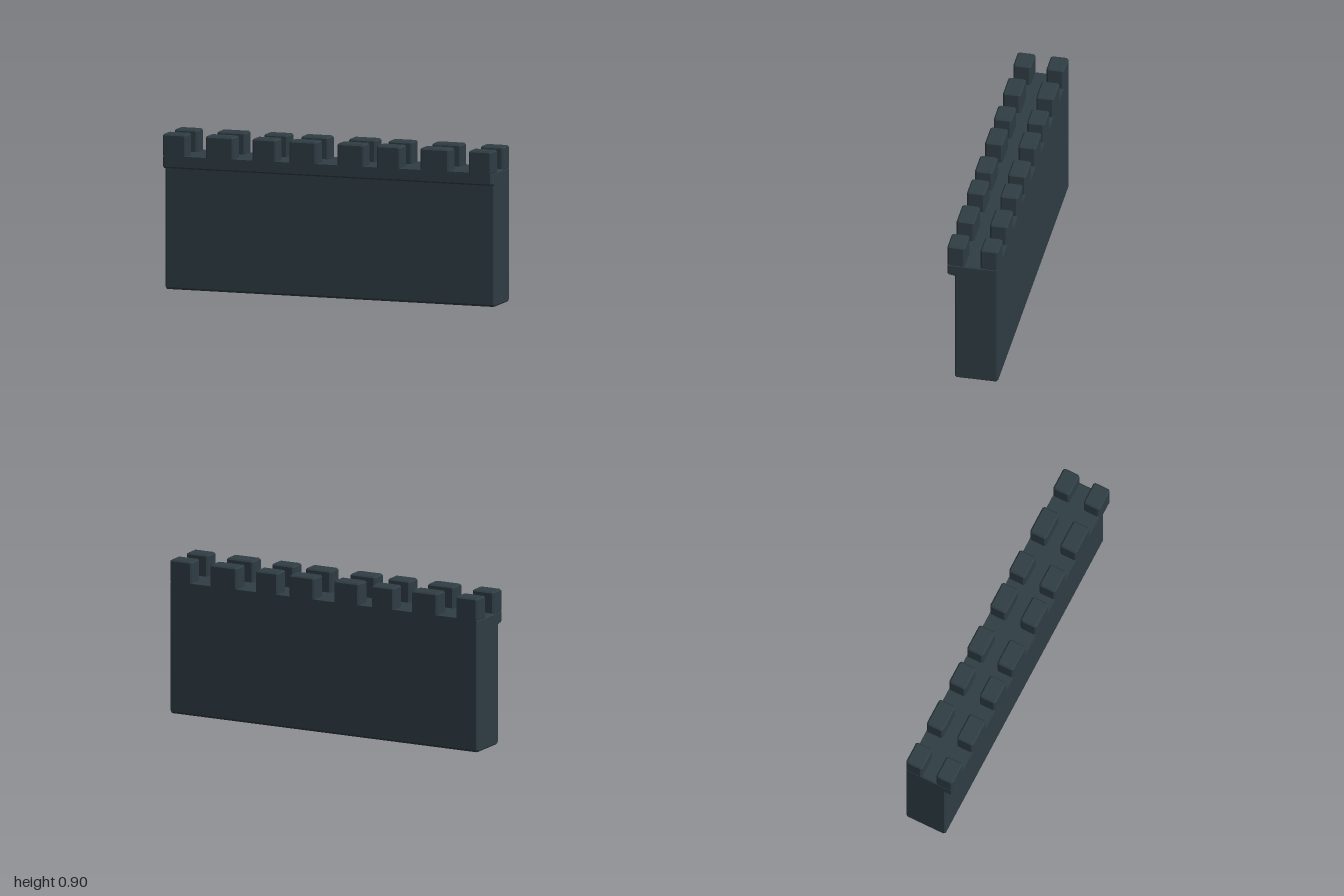
import * as THREE from 'three';

const BEVEL = 0.008;

// Extrudes an outline so that its total depth, bevels included, equals depth
function bevelled(points, depth) {
  const shape = new THREE.Shape(points.map(([x, y]) => new THREE.Vector2(x, y)));
  const geometry = new THREE.ExtrudeGeometry(shape, {
    depth: depth - 2 * BEVEL,
    bevelThickness: BEVEL, bevelSize: BEVEL, bevelOffset: -BEVEL, bevelSegments: 1,
  });
  return geometry.translate(0, 0, BEVEL);
}

export function createModel() {
  const group = new THREE.Group();
  const stone = new THREE.MeshStandardMaterial({ color: 0x2f3d44 });
  stone.name = 'darkStone';

  const floorY = 0.775, topY = 0.9;
  const front = 0.148, back = -0.148;

  // Wall body: side profile (z, y) with the overhanging front parapet
  const profile = [
    [-0.135, 0], [0.093, 0], [0.104, 0.012], [0.104, 0.698],
    [0.14, 0.704], [front, 0.712], [front, floorY],
    [back, floorY], [back, 0.014],
  ];
  const wall = new THREE.Mesh(bevelled(profile, 2), stone);
  wall.geometry.rotateY(-Math.PI / 2).translate(1, 0, 0);
  wall.name = 'wall';
  group.add(wall);

  // Battlements: one row along the front edge and one along the back
  const spans = [
    [-1, -0.86], [-0.74, -0.57], [-0.455, -0.31], [-0.23, -0.065],
    [0.06, 0.225], [0.3, 0.445], [0.565, 0.74], [0.86, 1],
  ];
  const c = 0.01; // corner chamfer
  for (const side of [1, -1]) {
    const row = new THREE.Group();
    row.name = side > 0 ? 'frontBattlements' : 'backBattlements';
    for (const [x0, x1] of spans) {
      const w = (x1 - x0) / 2, d = 0.0515;
      const outline = [
        [-w + c, -d], [w - c, -d], [w, -d + c], [w, d - c],
        [w - c, d], [-w + c, d], [-w, d - c], [-w, -d + c],
      ];
      // The lower bevel is sunk into the wall
      const geometry = bevelled(outline, topY - floorY + BEVEL).rotateX(-Math.PI / 2);
      const merlon = new THREE.Mesh(geometry, stone);
      merlon.position.set((x0 + x1) / 2, floorY - BEVEL, side * (front - d));
      merlon.name = 'merlon';
      row.add(merlon);
    }
    group.add(row);
  }
  return group;
}
